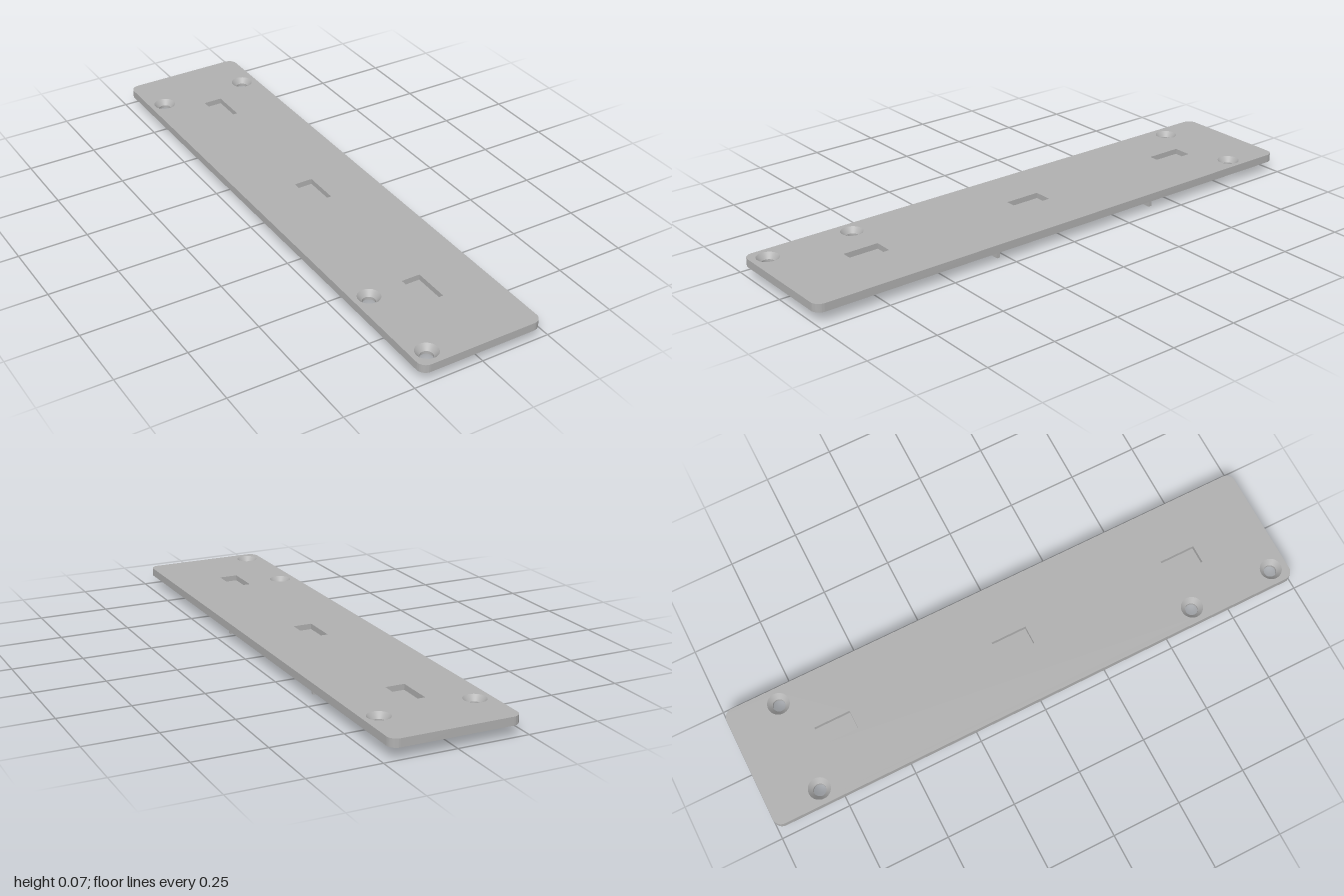
import * as THREE from 'three';
import { toCreasedNormals } from 'three/addons/utils/BufferGeometryUtils.js';

const W = 0.225, L = 1, BOTTOM = 0.039, TOP = 0.068, CORNER = 0.032;
const SINK_R = 0.039, BORE_R = 0.022, SINK_Y = 0.049, FLOOR_Y = 0.048;
const screwHoles = [[-0.168, -0.817], [0.168, -0.817], [-0.168, 0.62], [-0.168, 0.94]];
const pockets = [-0.677, 0, 0.672];
const PW = 0.034, PL = 0.066;

// Plan outlines are drawn in x and -z
function roundedOutline() {
  const s = new THREE.Shape(), a = W - CORNER, b = L - CORNER;
  s.absarc(a, b, CORNER, 0, Math.PI / 2);
  s.absarc(-a, b, CORNER, Math.PI / 2, Math.PI);
  s.absarc(-a, -b, CORNER, Math.PI, Math.PI * 1.5);
  s.absarc(a, -b, CORNER, Math.PI * 1.5, Math.PI * 2);
  s.closePath();
  return s;
}

const circle = (x, z, r) => new THREE.Path().absarc(x, -z, r, 0, Math.PI * 2, true);

const rectPoints = (z) => [[-PW, -PL], [PW, -PL], [PW, PL], [-PW, PL]]
  .map(([x, y]) => new THREE.Vector2(x, y - z));

// Horizontal face with cut-outs, looking up or down
function flatFace(holes, y, down) {
  const s = roundedOutline();
  s.holes = holes;
  const g = new THREE.ShapeGeometry(s, 32).rotateX(-Math.PI / 2).translate(0, y, 0);
  if (down) {
    g.setIndex([...g.index.array].reverse());
    g.computeVertexNormals();
  }
  return g;
}

// Vertical wall around an outline: counter-clockwise faces out, clockwise faces in
function wall(points, y0, y1) {
  const pos = [];
  points.forEach((p, i) => {
    const q = points[(i + 1) % points.length];
    if (p.distanceTo(q) < 1e-6) return;
    const a = [p.x, y0, -p.y], b = [q.x, y0, -q.y], c = [q.x, y1, -q.y], d = [p.x, y1, -p.y];
    pos.push(...a, ...b, ...c, ...a, ...c, ...d);
  });
  const g = new THREE.BufferGeometry();
  g.setAttribute('position', new THREE.Float32BufferAttribute(pos, 3));
  return toCreasedNormals(g, 0.6);
}

export function createModel() {
  const model = new THREE.Group();
  model.name = 'mountingPlate';
  const grey = new THREE.MeshStandardMaterial({ color: 0xb0b0b0 });
  grey.name = 'grey';
  const add = (name, geometry, x = 0, y = 0, z = 0) => {
    const m = new THREE.Mesh(geometry, grey);
    m.name = name;
    m.position.set(x, y, z);
    model.add(m);
  };

  // Plate shell
  const topCuts = screwHoles.map(([x, z]) => circle(x, z, SINK_R));
  pockets.forEach((z) => topCuts.push(new THREE.Path(rectPoints(z))));
  add('plateTop', flatFace(topCuts, TOP, false));
  add('plateBottom', flatFace(screwHoles.map(([x, z]) => circle(x, z, BORE_R)), BOTTOM, true));
  add('plateEdge', wall(roundedOutline().getPoints(16), BOTTOM, TOP));

  // Countersunk screw holes: profiles run downwards so the faces look inwards
  const v = (r, y) => new THREE.Vector2(r, y);
  for (const [x, z] of screwHoles) {
    add('countersink', new THREE.LatheGeometry([v(SINK_R, TOP), v(BORE_R, SINK_Y)], 64), x, 0, z);
    add('screwBore', new THREE.LatheGeometry([v(BORE_R, SINK_Y), v(BORE_R, BOTTOM)], 64), x, 0, z);
  }

  // Blind rectangular pockets
  for (const z of pockets) {
    add('pocketWall', wall(rectPoints(z).reverse(), FLOOR_Y, TOP));
    add('pocketFloor', new THREE.PlaneGeometry(PW * 2, PL * 2).rotateX(-Math.PI / 2), 0, FLOOR_Y, z);
  }

  // Locating ribs underneath
  for (const [name, x0, x1, z] of [['longRib', -0.19, 0.19, 0.278], ['shortRib', -0.065, 0.19, -0.405]]) {
    add(name, new THREE.BoxGeometry(x1 - x0, BOTTOM, 0.013), (x0 + x1) / 2, BOTTOM / 2, z);
  }
  return model;
}
